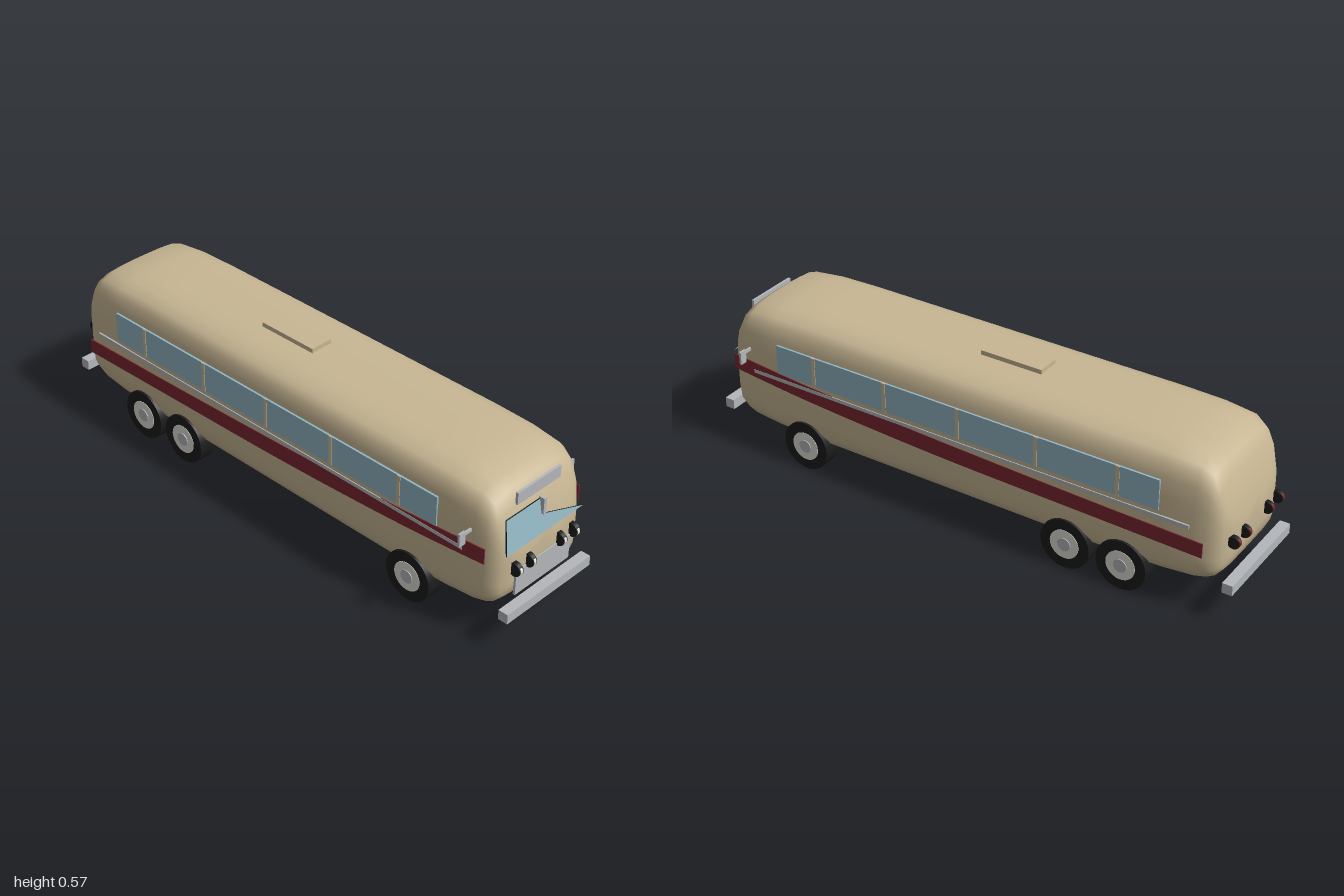
import * as THREE from 'three';

const mat = (name, color) => {
  const m = new THREE.MeshStandardMaterial({ color });
  m.name = name;
  return m;
};

export function createModel() {
  const tan = mat('tan paint', 0xc8b794);
  const chrome = mat('chrome', 0xb4b7bb);
  const glass = mat('blue glass', 0x93b6c4);
  const red = mat('dark red', 0x7b2630);
  const black = mat('black rubber', 0x1c1c1c);
  const white = mat('off white', 0xe2dfd6);

  const group = new THREE.Group();
  const add = (name, geo, material, x = 0, y = 0, z = 0) => {
    const m = new THREE.Mesh(geo, material);
    m.name = name;
    m.position.set(x, y, z);
    group.add(m);
    return m;
  };
  // Box given by its limits on each axis
  const box = (name, material, [x0, x1], [y0, y1], [z0, z1]) =>
    add(name, new THREE.BoxGeometry(x1 - x0, y1 - y0, Math.abs(z1 - z0)), material,
      (x0 + x1) / 2, (y0 + y1) / 2, (z0 + z1) / 2);
  // Cylinder lying along z
  const disc = (name, material, r, w, x, y, z, n = 28) =>
    add(name, new THREE.CylinderGeometry(r, r, w, n).rotateX(Math.PI / 2), material, x, y, z);

  // Body shell: one rounded cross-section scaled along the length
  const half = [[0, 1], [0.38, 0.996], [0.63, 0.983], [0.83, 0.945], [0.925, 0.89], [0.975, 0.8],
    [1, 0.66], [1, 0.44], [1, 0.22], [0.98, 0.11], [0.9, 0.035], [0.63, 0.005], [0, 0]];
  const ring = [...half, ...half.slice(1, -1).reverse().map(([z, y]) => [-z, y])];
  // x, bottom, top, half width
  const nose = [[0.6, 0.1, 0.555, 0.222], [0.75, 0.104, 0.552, 0.22], [0.86, 0.111, 0.541, 0.213],
    [0.9, 0.118, 0.512, 0.204], [0.925, 0.13, 0.465, 0.194], [0.945, 0.155, 0.395, 0.175],
    [0.957, 0.19, 0.34, 0.14], [0.961, 0.225, 0.3, 0.08]];
  const stations = [...nose.map(([x, ...r]) => [-x, ...r]).reverse(), ...nose];
  const pos = [], idx = [], n = ring.length;
  for (const [x, b, t, w] of stations) for (const [z, y] of ring) pos.push(x, b + (t - b) * y, w * z);
  for (let s = 0; s < stations.length - 1; s++) {
    for (let i = 0; i < n; i++) {
      const a = s * n + i, c = s * n + (i + 1) % n;
      idx.push(a, c, c + n, a, c + n, a + n);
    }
  }
  const last = (stations.length - 1) * n;
  for (let i = 1; i < n - 1; i++) idx.push(last, last + i, last + i + 1, 0, i + 1, i);
  const shell = new THREE.BufferGeometry();
  shell.setAttribute('position', new THREE.Float32BufferAttribute(pos, 3));
  shell.setIndex(idx);
  shell.computeVertexNormals();
  add('bodyShell', shell, tan);

  box('roofVent', tan, [-0.21, 0.02], [0.55, 0.57], [-0.042, 0.042]);

  // Rising stripe outline
  const stripe = new THREE.Shape();
  stripe.moveTo(-0.9, 0.225);
  stripe.splineThru([[-0.45, 0.234], [0, 0.243], [0.35, 0.258], [0.65, 0.278], [0.915, 0.305]]
    .map(p => new THREE.Vector2(...p)));
  stripe.lineTo(0.915, 0.36);
  stripe.splineThru([[0.65, 0.336], [0.35, 0.318], [0, 0.303], [-0.45, 0.288], [-0.9, 0.277]]
    .map(p => new THREE.Vector2(...p)));
  const stripeGeo = new THREE.ExtrudeGeometry(stripe, { depth: 0.004, bevelEnabled: false, curveSegments: 6 });

  for (const s of [1, -1]) {
    add('sideStripe', stripeGeo, red, 0, 0, s > 0 ? 0.2205 : -0.2245);
    box('sideTrim', chrome, [-0.85, 0.83], [0.313, 0.326], [s * 0.219, s * 0.2255]);

    // Side windows with slim posts
    box('sideWindow', glass, [-0.745, 0.725], [0.343, 0.451], [s * 0.2175, s * 0.225]);
    for (const x of [-0.6, -0.305, -0.01, 0.28, 0.57])
      box('windowPost', tan, [x - 0.007, x + 0.007], [0.343, 0.451], [s * 0.2175, s * 0.227]);

    // Door mirror
    box('mirrorArm', chrome, [0.847, 0.855], [0.39, 0.4], [s * 0.2, s * 0.242]);
    box('mirror', chrome, [0.847, 0.855], [0.358, 0.405], [s * 0.241, s * 0.268]);

    // Wheels
    for (const x of [-0.625, -0.42, 0.62]) {
      disc('tyre', black, 0.09, 0.061, x, 0.09, s * 0.1975);
      disc('rim', white, 0.053, 0.064, x, 0.09, s * 0.1975);
      disc('hub', chrome, 0.024, 0.07, x, 0.09, s * 0.1975, 16);
    }

    // Lamps at both ends
    for (const z of [0.072, 0.135]) {
      disc('headlightHousing', black, 0.024, 0.017, 0.966, 0.267, s * z, 20);
      disc('headlightLens', white, 0.02, 0.01, 0.971, 0.267, s * z, 20);
    }
    for (const z of [0.077, 0.147]) {
      disc('tailLightHousing', black, 0.021, 0.017, -0.968, 0.267, s * z, 20);
      disc('tailLightLens', red, 0.018, 0.01, -0.973, 0.267, s * z, 20);
    }

    // Bumpers
    box('bumper', chrome, s > 0 ? [0.962, 0.998] : [-0.998, -0.962], [0.107, 0.143], [-0.198, 0.198]);
  }

  // Windscreen: thin plate drawn in (-z, y), leaning back
  const screen = new THREE.Shape([[-0.18, 0], [0.178, 0], [-0.012, 0.064], [-0.012, 0.116], [-0.165, 0.116]]
    .map(p => new THREE.Vector2(...p)));
  const screenGeo = new THREE.ExtrudeGeometry(screen, { depth: 0.005, bevelEnabled: false })
    .rotateX(-0.2).rotateY(Math.PI / 2);
  add('windscreen', screenGeo, [glass, black], 0.961, 0.335, 0);
  box('windscreenDivider', chrome, [0.935, 0.956], [0.375, 0.452], [-0.006, 0.007]);

  // Front plates
  box('frontUpperPanel', chrome, [0.906, 0.915], [0.465, 0.508], [-0.1, 0.1]).position.x += 0.014;
  box('frontGrille', chrome, [0.957, 0.965], [0.16, 0.25], [-0.128, 0.128]);

  return group;
}
